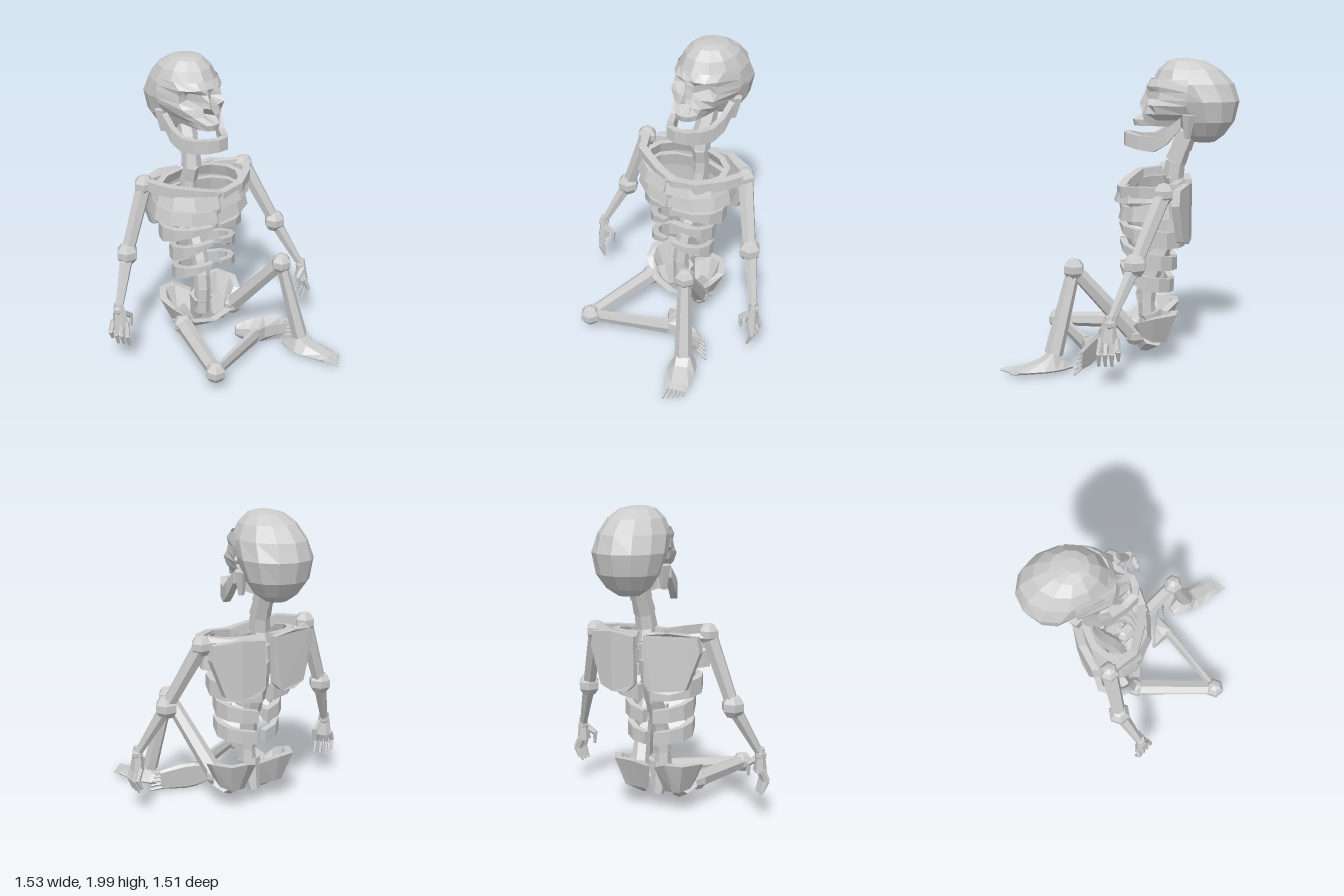
import * as THREE from 'three';

const mat = new THREE.MeshStandardMaterial({ color: 0xcccccc, flatShading: true, side: THREE.DoubleSide });
const V = (x, y, z) => new THREE.Vector3(x, y, z);
const lerp = THREE.MathUtils.lerp;

function add(parent, name, geo) {
  const m = new THREE.Mesh(geo, mat);
  m.name = name;
  parent.add(m);
  return m;
}

// Skin through a list of cross-sections; a solid has closed rings and end caps
function loft(rings, solid = true) {
  const n = rings[0].length, tris = [];
  for (let i = 0; i < rings.length - 1; i++)
    for (let j = 0; j < (solid ? n : n - 1); j++) {
      const k = (j + 1) % n, a = rings[i][j], b = rings[i + 1][j], c = rings[i + 1][k], d = rings[i][k];
      tris.push([a, b, c], [a, c, d]);
    }
  if (solid) {
    const s = rings[0], e = rings[rings.length - 1];
    for (let j = 1; j < n - 1; j++) tris.push([s[0], s[j], s[j + 1]], [e[0], e[j + 1], e[j]]);
    let vol = 0;
    for (const [a, b, c] of tris) vol += a.dot(b.clone().cross(c));
    if (vol < 0) tris.forEach(t => t.reverse());
  }
  const g = new THREE.BufferGeometry().setFromPoints(tris.flat());
  g.computeVertexNormals();
  return g;
}

// Upright strip along a path of [x, y, z, height]; flare pulls its lower edge sideways
function band(path, thick, flare = 0) {
  const rings = path.map(([x, y, z, h], i) => {
    const p = path[Math.max(0, i - 1)], q = path[Math.min(path.length - 1, i + 1)];
    const nrm = V(q[2] - p[2], 0, p[0] - q[0]).normalize();
    const at = (s, v) => V(x, y + v * h / 2, z).addScaledVector(nrm, s * thick / 2 + (v < 0 ? flare : 0));
    return [at(1, 1), at(-1, 1), at(-1, -1), at(1, -1)];
  });
  return loft(rings);
}

// Tapered shaft between two points
function bone(parent, name, a, b, ra, rb, sides = 6) {
  const m = add(parent, name, new THREE.CylinderGeometry(rb, ra, a.distanceTo(b), sides));
  m.position.copy(a).lerp(b, 0.5);
  m.quaternion.setFromUnitVectors(V(0, 1, 0), b.clone().sub(a).normalize());
  return m;
}

function joint(parent, name, p, r) {
  add(parent, name, new THREE.SphereGeometry(r, 6, 5)).position.copy(p);
}

const mirror = half => [...half.map(([x, ...r]) => [-x, ...r]).reverse(), ...half.slice(1)];

function skull() {
  const g = new THREE.Group();
  g.name = 'skull';
  g.position.x = 0.035;
  // Cranium layers: y, front z, back z, half width
  const layers = [[2, -0.34, -0.43, 0.05], [1.985, -0.29, -0.53, 0.11], [1.93, -0.23, -0.63, 0.17], [1.84, -0.18, -0.72, 0.215],
    [1.73, -0.28, -0.755, 0.232], [1.6, -0.36, -0.725, 0.2], [1.51, -0.41, -0.66, 0.14], [1.465, -0.46, -0.6, 0.07]];
  add(g, 'cranium', loft(layers.map(([y, f, b, w]) => Array.from({ length: 12 }, (_, i) => {
    const a = i * Math.PI / 6;
    return V(w * Math.sin(a), y, (f + b) / 2 + (f - b) / 2 * Math.cos(a));
  }))));
  // Face rows: y, then x and z from the middle outward; sockets and nose are sunk in
  const rows = [
    [1.87, 0, -0.18, 0.06, -0.19, 0.12, -0.225, 0.17, -0.29, 0.205, -0.42],
    [1.825, 0, -0.155, 0.05, -0.155, 0.11, -0.175, 0.165, -0.235, 0.22, -0.42],
    [1.79, 0, -0.145, 0.035, -0.17, 0.09, -0.27, 0.16, -0.245, 0.228, -0.42],
    [1.74, 0, -0.12, 0.03, -0.165, 0.085, -0.27, 0.165, -0.235, 0.23, -0.42],
    [1.705, 0, -0.11, 0.03, -0.15, 0.09, -0.165, 0.165, -0.2, 0.222, -0.41],
    [1.65, 0, -0.2, 0.045, -0.13, 0.1, -0.15, 0.155, -0.22, 0.19, -0.4],
    [1.61, 0, -0.065, 0.05, -0.08, 0.085, -0.14, 0.11, -0.22, 0.13, -0.36],
    [1.57, 0, -0.075, 0.04, -0.085, 0.075, -0.13, 0.09, -0.2, 0.11, -0.34],
    [1.58, 0, -0.34, 0.03, -0.34, 0.06, -0.34, 0.08, -0.34, 0.1, -0.35]];
  add(g, 'face', loft(rows.map(([y, ...r]) =>
    mirror([0, 2, 4, 6, 8].map(k => [r[k], y, r[k + 1]])).map(p => V(...p))), false));
  add(g, 'lowerJaw', band(mirror([[0, 1.485, -0.03, 0.085], [0.06, 1.485, -0.04, 0.09], [0.11, 1.465, -0.12, 0.09],
    [0.15, 1.46, -0.21, 0.1], [0.18, 1.51, -0.29, 0.1], [0.19, 1.6, -0.38, 0.07]]), 0.045));
  for (const s of [-1, 1])
    bone(g, 'skullBaseKnob', V(s * 0.19, 1.65, -0.43), V(s * 0.18, 1.5, -0.42), 0.045, 0.02, 5);
  return g;
}

function torso() {
  const g = new THREE.Group();
  g.name = 'torso';
  // Spine: a chain of vertebrae along a curve
  const curve = new THREE.CatmullRomCurve3([V(-0.01, 0.18, -0.17), V(-0.01, 0.42, -0.16), V(0, 0.62, -0.21), V(0, 0.85, -0.31),
    V(0.01, 1.1, -0.36), V(0.02, 1.26, -0.33), V(0.03, 1.52, -0.42)]);
  const n = 14;
  for (let i = 0; i < n; i++) {
    const r = i > 10 ? 0.07 : 0.06;
    bone(g, 'vertebra', curve.getPointAt(i / n), curve.getPointAt((i + 0.98) / n), r, r * 0.9, 6);
  }
  // Ribs: half width, front z, back z, y at front / side / back, height at front / side / back, start angle, flare
  const ribs = [
    [0.3, 0.01, -0.38, 1.11, 1.15, 1.18, 0.08, 0.09, 0.07, 0, 0.03],
    [0.32, -0.01, -0.4, 0.99, 1.04, 1.06, 0.08, 0.1, 0.09, 0, 0.02],
    [0.28, 0.0, -0.39, 0.92, 0.86, 0.82, 0.02, 0.11, 0.1, 0.06, 0],
    [0.215, 0.0, -0.34, 0.81, 0.7, 0.65, 0.02, 0.11, 0.08, 0.08, 0],
    [0.205, 0.0, -0.32, 0.645, 0.55, 0.5, 0.02, 0.1, 0.08, 0.1, 0]];
  for (const [w, zf, zb, yf, ys, yb, hf, hs, hb, a0, flare] of ribs)
    for (const s of [-1, 1]) {
      const path = [];
      for (let i = 0; i <= 6; i++) {
        const a = lerp(a0, Math.PI * 0.97, i / 6), t = a / (Math.PI / 2);
        const ease = (f, m, b) => t < 1 ? lerp(f, m, t) : lerp(m, b, t - 1);
        path.push([s * w * Math.sin(a) ** 0.85, ease(yf, ys, yb), (zf + zb) / 2 + (zf - zb) / 2 * Math.cos(a), ease(hf, hs, hb)]);
      }
      add(g, 'rib', band(path, 0.045, -s * flare));
    }
  bone(g, 'breastbone', V(0.01, 1.17, 0.0), V(0, 0.92, -0.01), 0.045, 0.02, 5);
  add(g, 'collarbones', band([[-0.37, 1.22, -0.25, 0.07], [-0.29, 1.21, -0.1, 0.07], [-0.1, 1.165, -0.02, 0.075], [0.04, 1.13, 0.01, 0.08],
    [0.2, 1.15, -0.02, 0.075], [0.34, 1.17, -0.14, 0.07], [0.41, 1.18, -0.25, 0.07]], 0.055));
  // Shoulder blades: plates that swing forward towards the arms
  for (const s of [-1, 1]) {
    const shape = new THREE.Shape([[0.035, 1.19], [0.2, 1.21], [0.37, 1.19], [0.385, 1.09], [0.3, 0.85], [0.2, 0.82], [0.09, 0.83], [0.035, 0.88]]
      .map(([x, y]) => new THREE.Vector2(s * x, y)));
    const geo = new THREE.ExtrudeGeometry(shape, { depth: 0.05, bevelEnabled: false });
    const p = geo.attributes.position;
    for (let i = 0; i < p.count; i++) p.setZ(i, p.getZ(i) - 0.455 + 0.33 * Math.max(0, Math.abs(p.getX(i)) - 0.15));
    geo.computeVertexNormals();
    add(g, 'shoulderBlade', geo).position.set(0.015, s < 0 ? 0.015 : 0, 0);
    bone(g, 'shoulderBladeRidge', V(s * 0.2, 1.19, -0.405), V(s * 0.39, 1.2, -0.29), 0.015, 0.035, 5);
  }
  return g;
}

function pelvis() {
  const g = new THREE.Group();
  g.name = 'pelvis';
  for (const s of [-1, 1]) {
    const path = [[0.03, 0.21, -0.28, 0.18], [0.13, 0.25, -0.35, 0.2], [0.23, 0.25, -0.34, 0.2], [0.29, 0.25, -0.22, 0.18],
      [0.26, 0.22, -0.12, 0.16], [0.15, 0.15, -0.06, 0.08], [0.0, 0.13, -0.04, 0.06]];
    add(g, 'hipBlade', band(path.map(([x, ...r]) => [s * x, ...r]), 0.05, -s * 0.08));
    bone(g, 'sitBone', V(s * 0.19, 0.2, -0.2), V(s * 0.11, 0.1, -0.14), 0.09, 0.045, 6);
  }
  bone(g, 'tailbone', V(-0.01, 0.3, -0.18), V(-0.01, 0.1, -0.24), 0.08, 0.04, 6);
  return g;
}

// Hand hanging from the wrist; palm lies in the local yz plane, fingers curl to -x
function hand(name, wrist, turn, flip) {
  const g = new THREE.Group();
  g.name = name;
  bone(g, 'palm', V(0, 0.05, 0), V(0, -0.11, 0.01), 0.032, 0.062, 6).scale.x = 0.7;
  for (let i = 0; i < 4; i++) {
    const z = -0.042 + i * 0.031, len = i === 0 ? 0.14 : 0.175;
    const knuckle = V(0, -0.09, z), mid = V(0.03, -0.09 - len * 0.5, z * 1.25), tip = V(0, -0.09 - len, z * 1.3);
    bone(g, 'finger', knuckle, mid, 0.02, 0.018, 5);
    bone(g, 'fingerTip', mid, tip, 0.018, 0.01, 5);
  }
  bone(g, 'thumb', V(0, -0.02, 0.03), V(-0.065, -0.07, 0.055), 0.025, 0.019, 5);
  bone(g, 'thumbTip', V(-0.065, -0.06, 0.055), V(-0.06, -0.15, 0.06), 0.019, 0.01, 5);
  g.position.copy(wrist);
  g.rotation.y = turn;
  g.scale.x = flip;
  return g;
}

function arm(side, shoulder, elbow, wrist, turn, flip) {
  const g = new THREE.Group();
  g.name = side + 'Arm';
  joint(g, 'shoulderJoint', shoulder, 0.07);
  bone(g, 'upperArm', shoulder, elbow, 0.055, 0.045);
  joint(g, 'elbowJoint', elbow, 0.078);
  bone(g, 'forearm', elbow, wrist, 0.048, 0.026);
  joint(g, 'wristJoint', wrist, 0.04);
  g.add(hand(side + 'Hand', wrist, turn, flip));
  return g;
}

// Foot with the ankle at its origin, toes towards local +z
function foot(name, ankle, forward, up) {
  const g = new THREE.Group();
  g.name = name;
  // Sections: z, half width, top
  const secs = [[-0.12, 0.035, -0.075], [-0.05, 0.075, -0.03], [0.01, 0.092, 0.02], [0.08, 0.095, -0.035], [0.2, 0.08, -0.07], [0.25, 0.07, -0.08]];
  add(g, 'footBody', loft(secs.map(([z, w, top]) =>
    [V(-w, -0.085, z), V(-w * 0.45, top, z), V(w * 0.45, top, z), V(w, -0.085, z), V(w * 0.8, -0.1, z), V(-w * 0.8, -0.1, z)])));
  for (let i = 0; i < 5; i++) {
    const x = -0.056 + i * 0.028;
    bone(g, 'toe', V(x, -0.088, 0.235), V(x * 1.1, -0.09, 0.335 - i * 0.013), i ? 0.011 : 0.014, 0.008, 5);
  }
  const x = up.clone().cross(forward).normalize(), z = forward.clone().normalize();
  g.quaternion.setFromRotationMatrix(new THREE.Matrix4().makeBasis(x, z.clone().cross(x), z));
  g.position.copy(ankle);
  return g;
}

// shinRoll turns the shin about its own length, shinFlat thins it
function leg(side, hip, knee, ankle, forward, up, shinRoll, shinFlat) {
  const g = new THREE.Group();
  g.name = side + 'Leg';
  joint(g, 'hipJoint', hip, 0.07);
  bone(g, 'thigh', hip, knee, 0.06, 0.048);
  joint(g, 'kneeJoint', knee, 0.072);
  const shin = bone(g, 'shin', knee, ankle, 0.045, 0.063);
  shin.rotateY(shinRoll);
  shin.scale.z = shinFlat;
  g.add(foot(side + 'Foot', ankle, forward, up));
  return g;
}

export function createModel() {
  const g = new THREE.Group();
  g.name = 'sittingSkeleton';
  g.add(skull(), torso(), pelvis());
  g.add(arm('left', V(0.415, 1.175, -0.28), V(0.575, 0.755, -0.11), V(0.715, 0.42, 0.035), 0, 1));
  g.add(arm('right', V(-0.385, 1.215, -0.275), V(-0.545, 0.76, -0.25), V(-0.69, 0.43, -0.13), 0.7, -1));
  g.add(leg('left', V(0.2, 0.2, -0.09), V(0.335, 0.67, 0.295), V(0.42, 0.13, 0.42), V(0.37, 0, 0.93), V(0, 1, 0), 0, 0.85));
  g.add(leg('right', V(-0.22, 0.18, -0.08), V(-0.325, 0.15, 0.49), V(0.17, 0.12, 0.24), V(0.93, -0.08, 0.35), V(-0.35, 0.1, 0.93), 0.47, 0.5));
  return g;
}
